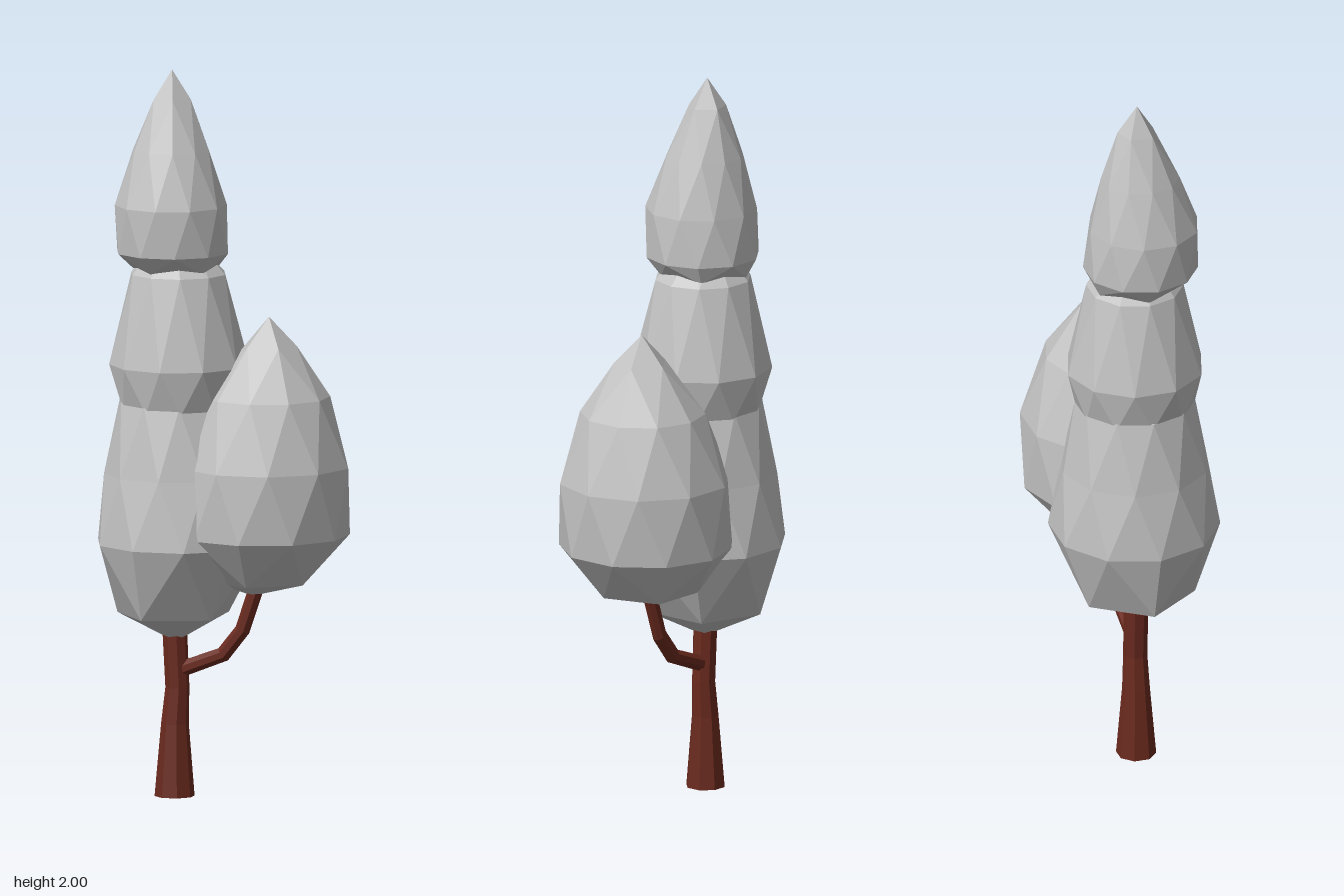
import * as THREE from 'three';

const leafGrey = new THREE.MeshStandardMaterial({ color: 0xc2c2c2, flatShading: true });
leafGrey.name = 'leafGrey';
const barkBrown = new THREE.MeshStandardMaterial({ color: 0x6a2a1e, flatShading: true });
barkBrown.name = 'barkBrown';

// Latitudes of the vertex rings on a once-divided icosahedron standing on a vertex
const LATITUDES = [-1, -0.85, -0.48, 0, 0.48, 0.85, 1];

// Foliage clump: each ring of the sphere is moved to [height, radius, centre x, centre z]
function clump(name, rings, spin = 0) {
  const geo = new THREE.IcosahedronGeometry(1, 1);
  geo.rotateX(-Math.atan((1 + Math.sqrt(5)) / 2));
  geo.rotateY(Math.PI / 2 + spin);
  const pos = geo.attributes.position;
  for (let i = 0; i < pos.count; i++) {
    const x = pos.getX(i), y = pos.getY(i), z = pos.getZ(i);
    let k = 0;
    LATITUDES.forEach((lat, j) => {
      if (Math.abs(lat - y) < Math.abs(LATITUDES[k] - y)) k = j;
    });
    const [height, radius, cx, cz = 0] = rings[k];
    const len = Math.hypot(x, z) || 1;
    pos.setXYZ(i, cx + (x / len) * radius, height, cz + (z / len) * radius);
  }
  geo.computeVertexNormals();
  const mesh = new THREE.Mesh(geo, leafGrey);
  mesh.name = name;
  return mesh;
}

// Tapered limb through stations [x, y, radius, lean of the ring], closed at both ends
function limb(name, stations, sides = 8) {
  const verts = [], index = [];
  for (const [x, y, r, lean] of stations) {
    for (let i = 0; i < sides; i++) {
      const a = ((i + 0.5) / sides) * Math.PI * 2;
      const u = Math.cos(a) * r;
      verts.push(x + u * Math.cos(lean), y - u * Math.sin(lean), Math.sin(a) * r);
    }
  }
  const last = (stations.length - 1) * sides;
  for (let s = 0; s < last; s += sides) {
    for (let i = 0; i < sides; i++) {
      const a = s + i, b = s + ((i + 1) % sides);
      index.push(a, a + sides, b, b, a + sides, b + sides);
    }
  }
  for (let i = 1; i < sides - 1; i++) {
    index.push(0, i, i + 1, last, last + i + 1, last + i);
  }
  const geo = new THREE.BufferGeometry();
  geo.setAttribute('position', new THREE.Float32BufferAttribute(verts, 3));
  geo.setIndex(index);
  geo.computeVertexNormals();
  const mesh = new THREE.Mesh(geo, barkBrown);
  mesh.name = name;
  return mesh;
}

export function createModel() {
  const tree = new THREE.Group();
  tree.name = 'tree';

  // Wood
  tree.add(limb('trunk', [
    [-0.138, 0, 0.055, 0], [-0.137, 0.2, 0.038, 0], [-0.13, 0.3, 0.033, 0], [-0.138, 0.47, 0.034, 0],
  ]));
  tree.add(limb('branch', [
    [-0.13, 0.345, 0.023, 1.15], [0, 0.395, 0.022, 0.95], [0.055, 0.465, 0.021, 0.55], [0.1, 0.6, 0.021, 0.3],
  ]));

  // Tall crown of three stacked clumps
  tree.add(clump('lowerCrown', [
    [0.425, 0, -0.135], [0.5, 0.16, -0.14], [0.7, 0.235, -0.12], [0.89, 0.205, -0.125],
    [1.09, 0.163, -0.13], [1.2, 0.09, -0.13], [1.25, 0, -0.13],
  ]));
  tree.add(clump('middleCrown', [
    [0.95, 0, -0.13], [1.01, 0.12, -0.13], [1.07, 0.162, -0.125], [1.19, 0.191, -0.125],
    [1.44, 0.133, -0.127], [1.53, 0.06, -0.135], [1.58, 0, -0.14],
  ]));
  tree.add(clump('topCrown', [
    [1.42, 0, -0.14], [1.45, 0.122, -0.135], [1.5, 0.157, -0.14, 0.012], [1.63, 0.153, -0.143, 0.02],
    [1.78, 0.107, -0.145, 0.01], [1.92, 0.053, -0.145], [2, 0, -0.145],
  ]));

  // Small crown on the branch
  tree.add(clump('sideCrown', [
    [0.56, 0, 0.085], [0.6, 0.14, 0.105], [0.73, 0.238, 0.112], [0.92, 0.237, 0.118],
    [1.11, 0.172, 0.125], [1.25, 0.075, 0.13], [1.33, 0, 0.13],
  ], Math.PI / 10));

  return tree;
}
